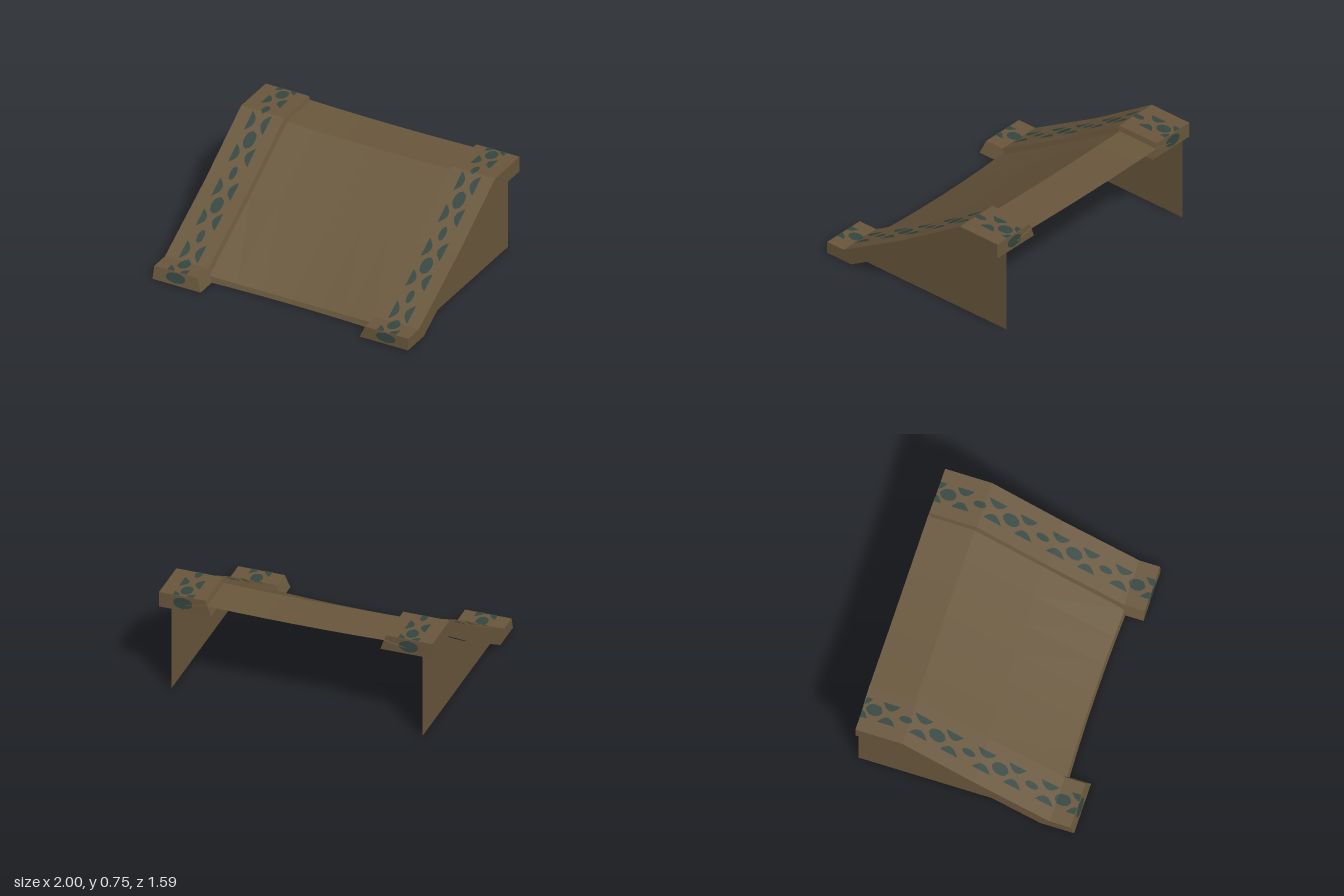
import * as THREE from 'three';

// Side profiles as [z, y], from back to front
const railTop = [[-0.78, 0.745], [-0.44, 0.745], [0.07, 0.41], [0.62, 0.09], [0.768, 0.09]];
const railRim = [[-0.78, 0.63], [-0.46, 0.63], [0, 0.325], [0.55, 0], [0.795, 0]];
const deckPath = [[-0.79, 0.71], [-0.455, 0.71], [0.05, 0.385], [0.628, 0.04], [0.642, 0]];

// Interpolate a path along one of its axes (0 = z, 1 = y)
function along(path, axis, v) {
  const pts = [...path].sort((a, b) => a[axis] - b[axis]);
  let i = 0;
  while (i < pts.length - 2 && v > pts[i + 1][axis]) i++;
  const [a, b] = [pts[i], pts[i + 1]];
  const t = (v - a[axis]) / (b[axis] - a[axis]);
  return [a[0] + (b[0] - a[0]) * t, a[1] + (b[1] - a[1]) * t];
}

// Triangles of a grid of points: rows run back to front, columns along +x
function gridTriangles(rows) {
  const out = [];
  for (let i = 0; i < rows.length - 1; i++) {
    for (let j = 0; j < rows[i].length - 1; j++) {
      const [a, b, c, d] = [rows[i][j], rows[i][j + 1], rows[i + 1][j], rows[i + 1][j + 1]];
      out.push(...a, ...c, ...d, ...a, ...d, ...b);
    }
  }
  return out;
}

function flatGeometry(positions) {
  const g = new THREE.BufferGeometry();
  g.setAttribute('position', new THREE.Float32BufferAttribute(positions, 3));
  g.computeVertexNormals();
  return g;
}

export function createModel() {
  const model = new THREE.Group();
  const brown = new THREE.MeshStandardMaterial({ color: 0x69573c, side: THREE.DoubleSide });
  brown.name = 'weathered brown';
  const teal = new THREE.MeshStandardMaterial({ color: 0x34453f, side: THREE.DoubleSide });
  teal.name = 'dark teal';

  const add = (parent, name, geometry, material) => {
    const mesh = new THREE.Mesh(geometry, material);
    mesh.name = name;
    parent.add(mesh);
  };

  // Thin sloping deck: sags in the middle, its edges tuck down inside the rails
  const deckX = [-0.8, -0.65, -0.43, -0.22, 0, 0.22, 0.43, 0.65, 0.8];
  const deckRows = deckPath.map(([z, y]) => deckX.map((x) => {
    const u = Math.abs(x) / 0.65;
    const sag = Math.max(0, 1 - u * u);
    const drop = u > 1 ? 0.03 : 0.009 * sag;
    return [x, y > 0.03 ? y - drop : y, z > 0.6 ? z - 0.015 * sag : z];
  }));
  add(model, 'deck', flatGeometry(gridTriangles(deckRows)), brown);

  for (const side of [1, -1]) {
    const label = side > 0 ? 'left' : 'right';
    const railGroup = new THREE.Group();
    railGroup.name = label + 'Rail';
    model.add(railGroup);
    const orderX = (points) => (side > 0 ? points : points.reverse());

    // Hollow rail, open underneath, with a leaning inner face
    const rim = railRim.map(([z, y]) => [side > 0 && z > 0.7 ? 0.772 : z, y]);
    const sections = railTop.map(([z, y], i) => {
      const [rz, ry] = rim[i];
      return orderX([[side * 0.62, ry, rz], [side * 0.66, y, z], [side, y, z], [side, ry, rz]]);
    });
    const lower = (s) => [s[0], s[3]];
    const upper = (s) => [s[1], s[2]];
    const [first, last] = [sections[0], sections[4]];
    add(railGroup, label + 'RailShell', flatGeometry([
      ...gridTriangles(sections),
      ...gridTriangles([lower(first), upper(first)]),
      ...gridTriangles([upper(last), lower(last)]),
    ]), brown);

    // Thin side wall under the rail
    const outline = [...railRim.slice(0, 4), [-0.78, 0]];
    const wall = new THREE.ShapeGeometry(new THREE.Shape(outline.map((p) => new THREE.Vector2(...p))));
    wall.rotateY(-Math.PI / 2);
    wall.translate(side > 0 ? 0.907 : -0.929, 0, 0);
    add(model, label + 'Wall', wall, brown);

    // Rounded patches that follow the rail shell
    const pos = [];
    const patch = (path, axis, lift, centre, half, xa, xb) => {
      const ends = path.map((p) => p[axis]);
      const lo = Math.max(centre - half, Math.min(...ends));
      const hi = Math.min(centre + half, Math.max(...ends));
      const cuts = Array.from({ length: 9 }, (_, i) => lo + (hi - lo) * i / 8);
      cuts.push(...ends.filter((v) => v > lo && v < hi));
      cuts.sort((a, b) => a - b);
      const rows = cuts.map((v) => {
        const w = Math.sqrt(Math.max(0, 1 - ((v - centre) / half) ** 2));
        const [z, y] = along(path, axis, v);
        const [dz, dy] = axis ? [lift, 0] : [0, lift];
        return orderX([xa(w), xb(w)].map((x) => [side * x, y + dy, z + dz]));
      });
      if (axis ? lift > 0 : lift < 0) rows.reverse();
      pos.push(...gridTriangles(rows));
    };
    const oval = (path, axis, lift, c, half, r) =>
      patch(path, axis, lift, c, half, (w) => 0.825 - r * w, (w) => 0.825 + r * w);
    const edges = (lift, c, half, r) => {
      patch(railTop, 0, lift, c, half, () => 0.75, (w) => 0.75 + r * w * w);
      patch(railTop, 0, lift, c, half, (w) => 0.9 - r * w * w, () => 0.9);
    };

    // Repeating pattern, showing on both faces of the shell
    const toe = [rim[4], railTop[4]];
    const back = [rim[0], railTop[0]];
    for (const lift of [0.003, -0.003]) {
      for (let i = 0; i < 4; i++) {
        const z = -0.7 + i * 0.453;
        oval(railTop, 0, lift, z, 0.06, 0.042);
        if (i < 3) oval(railTop, 0, lift, z + 0.227, 0.048, 0.024);
        if (i > 0) edges(lift, z - 0.115, 0.065, 0.05);
        edges(lift, z + 0.105, 0.062, 0.05);
      }
      edges(lift, -0.78, 0.05, 0.05);
      // Blots on the front toe and the back end
      oval(toe, 1, lift, 0.05, 0.036, 0.076);
      oval(back, 1, lift, 0.69, 0.045, 0.07);
    }
    add(railGroup, label + 'RailPatches', flatGeometry(pos), teal);
  }
  return model;
}
